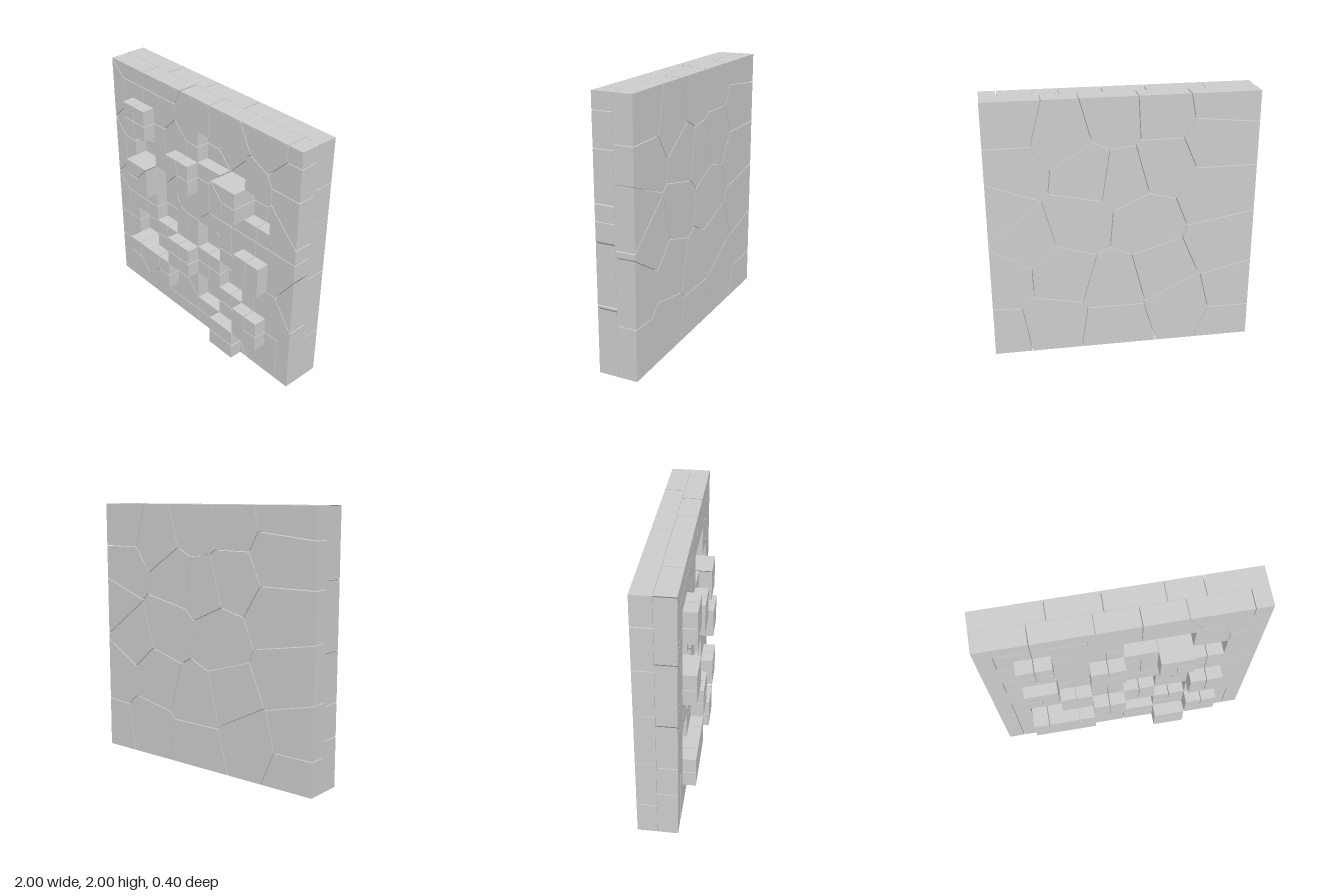
import * as THREE from 'three';
import { mergeGeometries } from 'three/addons/utils/BufferGeometryUtils.js';

const GAP = 0.006;            // width of the cracks
const CELL = 0.25;            // relief grid
const BACK = -0.2, SPLIT = -0.05;

// Relief, top row first: '.' flush, '#' raised block, 'o' recess
const RELIEF = [
  '........',
  '.#..oo..',
  '.o.#.#o.',
  '.#o.....',
  '..o.o.#.',
  '.o.#.o..',
  '.##.o.#.',
  '.....#..',
];
const LEVELS = {
  '.': { name: 'wallFace', z: 0.1 },
  '#': { name: 'raisedBlocks', z: 0.2 },
  'o': { name: 'recessFloors', z: 0 },
};

// Centres of the front stones: rows from y = 0 upwards, x in grid steps
const FRONT_ROWS = [
  [-1, 1],
  [-4, -3, -1, 1, 3, 4],
  [-4, -3, -2, -1, 0, 1, 2, 3],
  [-4, -3, -2, -1, 0, 1, 4.4],
  [-3, -2, 1, 2, 3],
  [-4, -3, 0, 1, 2, 3],
  [-3, -2, -1, 0, 2, 4],
  [-4, -3, -2, 0, 1, 4],
  [-3, -2, 3, 4],
];
const frontSeeds = FRONT_ROWS.flatMap((row, j) => row.map((x) => [x * CELL, j * CELL]));

// Centres of the back stones
const backSeeds = [
  [0.81, 1.83], [0.46, 1.74], [0.06, 1.85], [-0.29, 1.87], [-0.72, 1.95],
  [0.81, 1.5], [0.92, 1.2], [0.73, 0.95], [0.26, 1.44], [0.34, 1.06],
  [0.0, 1.4], [-0.29, 1.48], [-0.69, 1.65], [-0.17, 1.02], [-0.69, 1.23],
  [0.46, 0.64], [0.92, 0.63], [0.54, 0.22], [0.06, 0.53], [-0.29, 0.62],
  [-0.76, 0.82], [0.06, 0.15], [-0.45, 0.3], [-0.86, 0.4], [-0.86, 0.12], [0.95, 0.15],
];

// Keep the part of a polygon nearer to a than to b, less half a crack
function clip(poly, a, b) {
  const dx = b[0] - a[0], dy = b[1] - a[1];
  const len = Math.hypot(dx, dy);
  const side = (p) =>
    ((p[0] - (a[0] + b[0]) / 2) * dx + (p[1] - (a[1] + b[1]) / 2) * dy) / len + GAP / 2;
  const out = [];
  poly.forEach((p, i) => {
    const q = poly[(i + 1) % poly.length];
    const sp = side(p), sq = side(q);
    if (sp <= 0) out.push(p);
    if ((sp < 0 && sq > 0) || (sp > 0 && sq < 0)) {
      const t = sp / (sp - sq);
      out.push([p[0] + (q[0] - p[0]) * t, p[1] + (q[1] - p[1]) * t]);
    }
  });
  return out;
}

// Break a rectangle into stones and extrude each from z0 to z1
function stones([x0, y0, x1, y1], seeds, z0, z1) {
  const list = [];
  for (const a of seeds) {
    let poly = [[x0, y0], [x1, y0], [x1, y1], [x0, y1]];
    for (const b of seeds) if (b !== a && poly.length) poly = clip(poly, a, b);
    if (poly.length < 3) continue;
    const pts = poly.map((p) => new THREE.Vector2(p[0], p[1]));
    if (Math.abs(THREE.ShapeUtils.area(pts)) < 1e-5) continue;
    const geo = new THREE.ExtrudeGeometry(new THREE.Shape(pts), { depth: z1 - z0, bevelEnabled: false });
    list.push(geo.translate(0, 0, z0));
  }
  return list;
}

// Merge equal relief squares into as few rectangles as possible
function reliefRects(kind) {
  const n = RELIEF.length;
  const free = RELIEF.map((row) => [...row].map((c) => c === kind));
  const rects = [];
  for (let r = 0; r < n; r++) {
    for (let c = 0; c < n; c++) {
      if (!free[r][c]) continue;
      let w = 1, h = 1;
      while (c + w < n && free[r][c + w]) w++;
      while (r + h < n && free[r + h].slice(c, c + w).every(Boolean)) h++;
      for (let k = r; k < r + h; k++) free[k].fill(false, c, c + w);
      rects.push([c * CELL - 1, (n - r - h) * CELL, (c + w) * CELL - 1, (n - r) * CELL]);
    }
  }
  return rects;
}

export function createModel() {
  const group = new THREE.Group();
  group.name = 'crackedStoneWall';
  const material = new THREE.MeshStandardMaterial({ color: 0xcccccc, flatShading: true });
  const add = (name, geos) => {
    const mesh = new THREE.Mesh(mergeGeometries(geos), material);
    mesh.name = name;
    group.add(mesh);
  };

  // Rear layer of large stones
  add('backStones', stones([-1, 0, 1, 2], backSeeds, BACK, SPLIT - 0.001));

  // Front layer with its raised and sunken squares
  for (const [kind, { name, z }] of Object.entries(LEVELS)) {
    add(name, reliefRects(kind).flatMap((rect) => stones(rect, frontSeeds, SPLIT + 0.001, z)));
  }
  return group;
}
